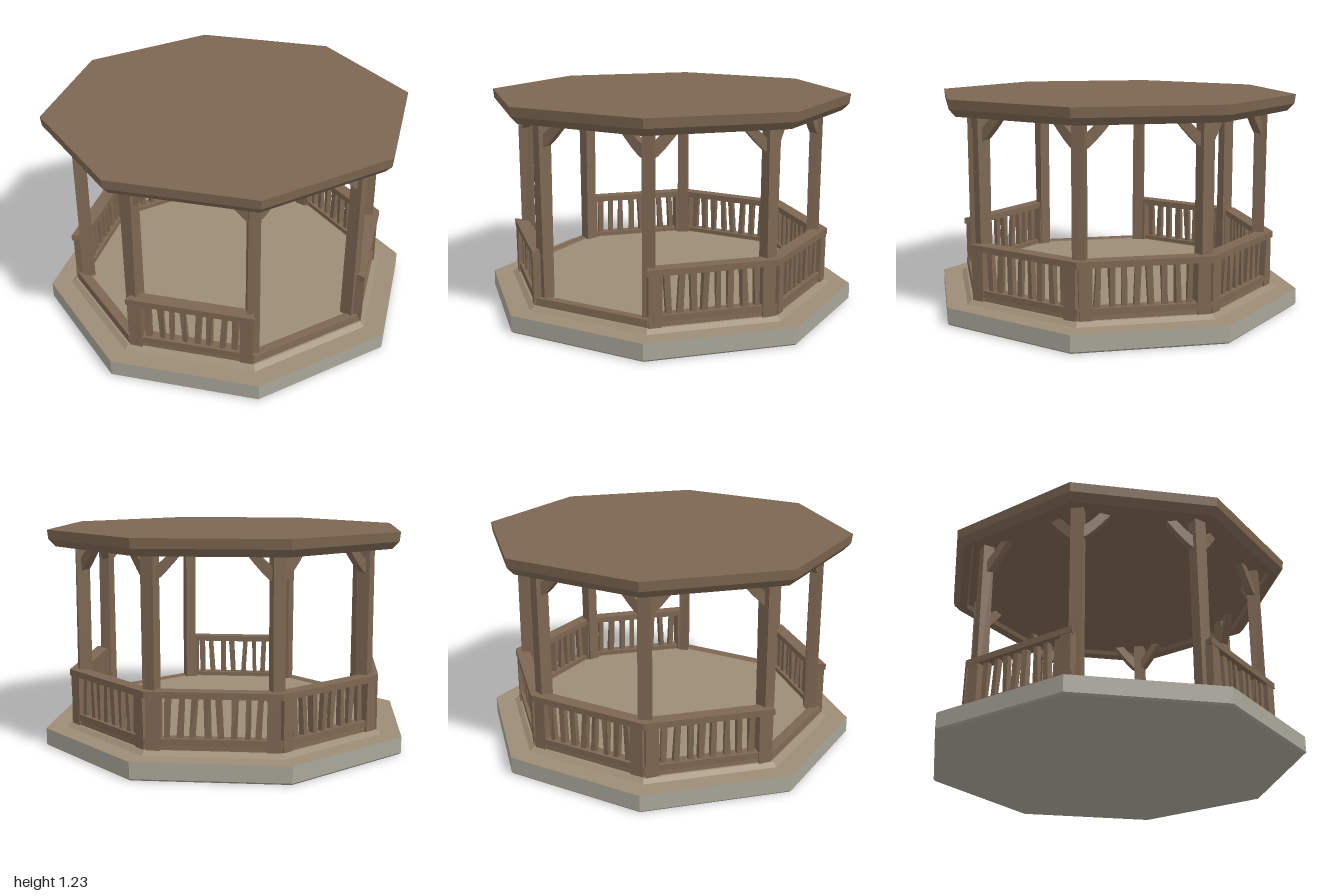
import * as THREE from 'three';

const mat = (color) => new THREE.MeshStandardMaterial({ color, flatShading: true, side: THREE.DoubleSide });
const STEP = Math.PI / 4, T = Math.tan(Math.PI / 8), C = Math.cos(Math.PI / 8);

// small seeded generator for the hand-hewn irregularity, -1..1
let seed = 7;
const jitter = () => {
  seed = (seed * 16807) % 2147483647;
  return (seed / 2147483647) * 2 - 1;
};

function add(parent, name, geo, material, x = 0, y = 0, z = 0) {
  const m = new THREE.Mesh(geo, material);
  m.name = name;
  m.position.set(x, y, z);
  parent.add(m);
  return m;
}

// octagonal solid from a profile of [apothem, y], flat sides facing the axes
const octagon = (profile) =>
  new THREE.LatheGeometry(profile.map(([a, y]) => new THREE.Vector2(a / C, y)), 8, Math.PI / 8);

// straight bar along x with mitred ends, between two apothems and two heights
function mitredBar(inner, outer, y0, y1) {
  const s = new THREE.Shape();
  s.moveTo(-inner * T, -inner);
  s.lineTo(inner * T, -inner);
  s.lineTo(outer * T, -outer);
  s.lineTo(-outer * T, -outer);
  const g = new THREE.ExtrudeGeometry(s, { depth: y1 - y0, bevelEnabled: false });
  return g.rotateX(-Math.PI / 2).translate(0, y0, 0);
}

// roughly cut timber: box whose corners are nudged by a rule
function hewnBox(w, h, d, rough) {
  const g = new THREE.BoxGeometry(w, h, d);
  const p = g.attributes.position, moved = {};
  for (let i = 0; i < p.count; i++) {
    const key = [p.getX(i), p.getY(i), p.getZ(i)].map((v) => Math.sign(v)).join();
    moved[key] ??= [jitter() * rough, jitter() * rough];
    p.setX(i, p.getX(i) + moved[key][0]);
    p.setZ(i, p.getZ(i) + moved[key][1]);
  }
  return g;
}

// curved brace rising from a post (x = 0) to the roof
function braceGeometry() {
  const s = new THREE.Shape();
  s.moveTo(0, 0.985);
  s.lineTo(0.045, 1.01);
  s.quadraticCurveTo(0.1, 1.06, 0.17, 1.15);
  s.lineTo(0.115, 1.16);
  s.quadraticCurveTo(0.06, 1.09, 0, 1.055);
  const g = new THREE.ExtrudeGeometry(s, { depth: 0.045, bevelEnabled: false, curveSegments: 3 });
  return g.translate(0, 0, -0.0225);
}

export function createModel() {
  const model = new THREE.Group();
  model.name = 'gazebo';
  const wood = mat(0x7d6752), stone = mat(0xa9a699), paving = mat(0x9c8d75);
  seed = 7;

  // plinth, step and floor
  add(model, 'plinth', octagon([[0, 0], [0.99, 0], [1, 0.01], [1, 0.1]]), stone);
  add(model, 'plinthTop', octagon([[1, 0.1], [0.86, 0.1]]), paving);
  add(model, 'step', octagon([[0.89, 0.1], [0.865, 0.122], [0.84, 0.125]]), paving);
  add(model, 'floorEdge', octagon([[0.855, 0.12], [0.85, 0.165], [0.8, 0.165], [0.79, 0.158]]), wood);
  add(model, 'floor', octagon([[0.8, 0.159], [0, 0.159]]), paving);

  // flat roof with bevelled fascia and recessed ceiling
  add(model, 'roof', octagon([
    [0, 1.17], [0.87, 1.17], [0.88, 1.145], [0.925, 1.135], [0.96, 1.175], [0.966, 1.228], [0, 1.228],
  ]), wood);

  const brace = braceGeometry();
  for (let k = 0; k < 8; k++) {
    // corner post
    const a = (k + 0.5) * STEP, r = 0.79 / C;
    const post = add(model, 'post', hewnBox(0.068, 1.04, 0.068, 0.005), wood, r * Math.sin(a), 0.65, r * Math.cos(a));
    post.rotation.y = a;

    const side = new THREE.Group();
    side.name = 'side';
    side.rotation.y = k * STEP;
    model.add(side);

    // pair of braces under the roof edge
    for (const s of [-1, 1]) {
      const b = add(side, 'brace', brace, wood, s * 0.79 * T, 0, 0.79);
      if (s > 0) b.rotation.y = Math.PI;
    }

    // the two front diagonals are open entrances
    if (k === 1 || k === 7) continue;
    add(side, 'handrail', mitredBar(0.79, 0.868, 0.4, 0.435), wood);
    add(side, 'bottomRail', mitredBar(0.795, 0.86, 0.15, 0.185), wood);
    for (const s of [-1, 1]) {
      add(side, 'newel', hewnBox(0.07, 0.31, 0.085, 0.004), wood, s * 0.312, 0.26, 0.822);
    }
    for (let i = 0; i < 8; i++) {
      const x = -0.245 + i * 0.07 + jitter() * 0.006;
      const b = add(side, 'baluster', hewnBox(0.03, 0.235, 0.032, 0.005), wood, x, 0.293, 0.826);
      b.rotation.z = jitter() * 0.06;
    }
  }
  return model;
}
